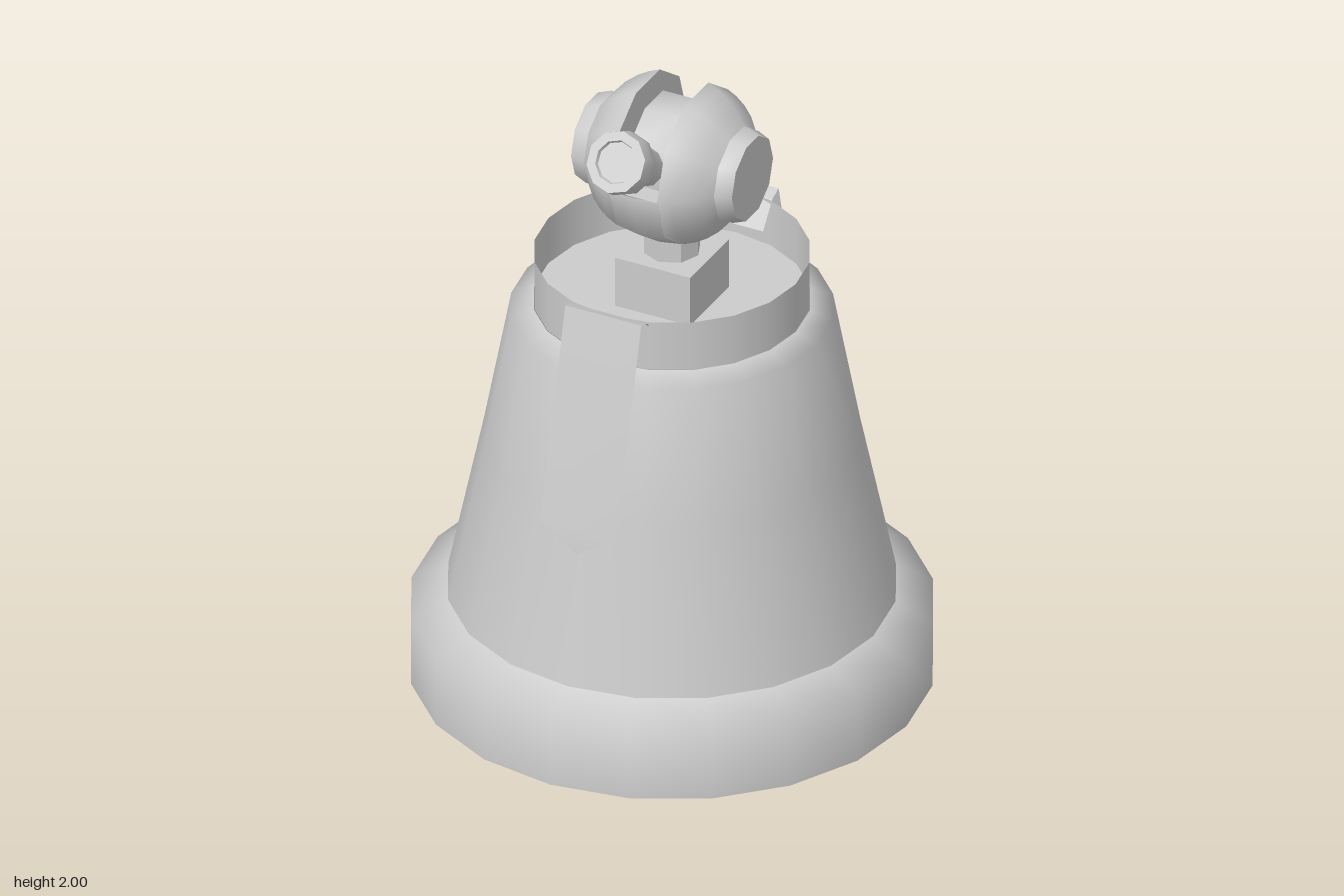
import * as THREE from 'three';
import { toCreasedNormals } from 'three/addons/utils/BufferGeometryUtils.js';

const material = new THREE.MeshStandardMaterial({ color: 0xcccccc, side: THREE.DoubleSide });

function add(parent, name, geometry) {
  const mesh = new THREE.Mesh(geometry, material);
  mesh.name = name;
  parent.add(mesh);
  return mesh;
}

// Lathe from [radius, height] pairs; crease keeps hard corners sharp
function lathe(points, segments, crease, start = 0, length = Math.PI * 2) {
  const g = new THREE.LatheGeometry(points.map(p => new THREE.Vector2(p[0], p[1])), segments, start, length);
  return crease ? toCreasedNormals(g, crease) : g;
}

// Thin bent clip hooked over the rim, with a pointed tail
function clipGeometry() {
  const w = 0.126;
  const rows = [[1.34, 0.34], [1.42, 0.40], [1.435, 0.44], [0.78, 0.602]];
  const positions = [], index = [];
  rows.forEach(([y, z], i) => {
    positions.push(-w, y, z, w, y, z);
    if (i) {
      const a = 2 * i - 2;
      index.push(a, a + 2, a + 1, a + 1, a + 2, a + 3);
    }
  });
  positions.push(0, 0.705, 0.612);
  index.push(6, 8, 7);
  const g = new THREE.BufferGeometry();
  g.setAttribute('position', new THREE.Float32BufferAttribute(positions, 3));
  g.setIndex(index);
  return toCreasedNormals(g, 0.3);
}

export function createModel() {
  const model = new THREE.Group();
  model.name = 'bellBase';

  // Hollow bell: foot ring, tapered body, raised rim and its floor
  add(model, 'footRing', lathe([[0.778, 0], [0.778, 0.22], [0.668, 0.28]], 20));
  add(model, 'body', lathe([[0.668, 0.28], [0.56, 0.8], [0.48, 1.23], [0.412, 1.257]], 20));
  add(model, 'rim', lathe([[0.41, 1.257], [0.41, 1.42]], 20));
  const floor = add(model, 'rimFloor', new THREE.CircleGeometry(0.41, 20, Math.PI / 2));
  floor.rotation.x = -Math.PI / 2;
  floor.position.y = 1.265;

  // Clips at front and back
  for (const [name, turn] of [['frontClip', 0], ['backClip', Math.PI]]) {
    add(model, name, clipGeometry()).rotation.y = turn;
  }

  // Mounting block and stem
  add(model, 'mountBlock', new THREE.BoxGeometry(0.25, 0.17, 0.25)).position.y = 1.345;
  add(model, 'stem', toCreasedNormals(new THREE.CylinderGeometry(0.087, 0.087, 0.16, 8), 0.5)).position.y = 1.49;

  // Ball head, turned around the sideways axis
  const head = new THREE.Group();
  head.name = 'head';
  head.position.y = 1.745;
  model.add(head);
  const cheekProfile = [[0, 0.08]];
  for (let i = 0; i <= 4; i++) {
    const x = 0.08 + i * 0.035;
    cheekProfile.push([Math.sqrt(0.262 ** 2 - x * x), x]);
  }
  const earProfile = [[0.148, 0.19], [0.148, 0.225], [0.132, 0.267], [0, 0.267]];
  for (const [side, turn] of [['left', 0], ['right', Math.PI]]) {
    const half = new THREE.Group();
    half.name = side + 'Half';
    half.rotation.y = turn;
    head.add(half);
    add(half, side + 'Cheek', lathe(cheekProfile, 10, 0.8).rotateZ(-Math.PI / 2));
    add(half, side + 'Ear', lathe(earProfile, 10, 0.8).rotateZ(-Math.PI / 2));
  }

  // Lower middle of the ball, with the flat slot floor above it
  add(head, 'ballMiddle', lathe([[0.25, -0.08], [0.262, 0], [0.25, 0.08]], 5, 0, 0, Math.PI).rotateZ(-Math.PI / 2));
  add(head, 'slotFloor', new THREE.PlaneGeometry(0.16, 0.51).rotateX(-Math.PI / 2));

  // Pivot disc inside the slot
  const disc = [[0, -0.06], [0.19, -0.06], [0.19, 0.06], [0, 0.06]];
  add(head, 'pivotDisc', lathe(disc, 10, 0.8).rotateZ(-Math.PI / 2));

  // Lever with a flared knob, leaning forward; height 0 is the knob face
  const lever = add(model, 'leverKnob', lathe([
    [0.06, -0.3], [0.06, -0.155], [0.094, -0.08], [0.098, -0.04],
    [0.094, 0], [0.066, 0], [0.062, -0.012], [0, -0.012],
  ], 10, 0.8));
  lever.position.set(0, 1.92, 0.36);
  lever.rotation.x = THREE.MathUtils.degToRad(58.5);

  return model;
}
